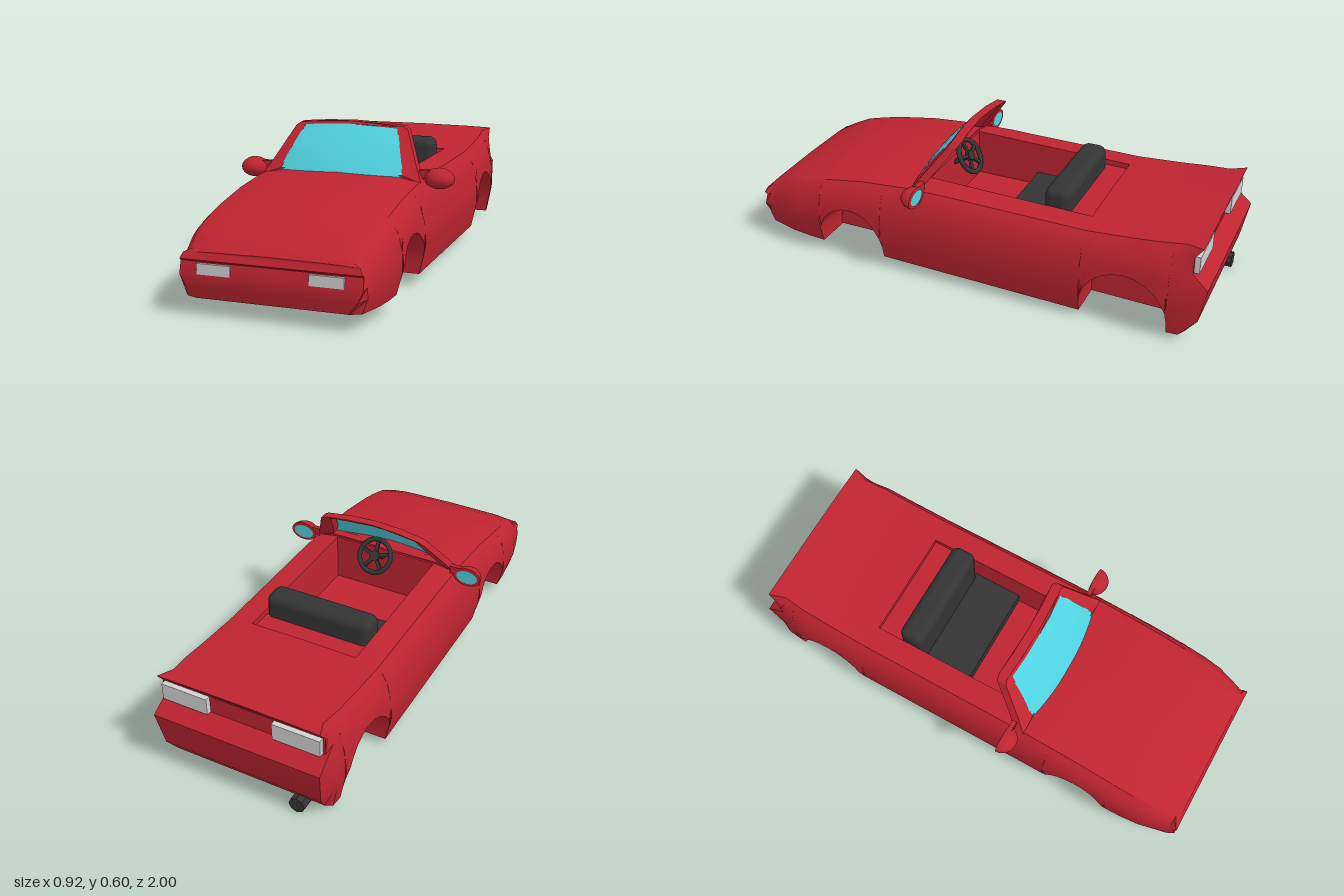
import * as THREE from 'three';
import { mergeGeometries, toCreasedNormals } from 'three/addons/utils/BufferGeometryUtils.js';
import { RoundedBoxGeometry } from 'three/addons/geometries/RoundedBoxGeometry.js';

const mat = (name, color, side = THREE.FrontSide) => {
  const m = new THREE.MeshStandardMaterial({ color, side });
  m.name = name;
  return m;
};

// Linear interpolation in a table of [position, value], ascending
function lerpTable(table, v) {
  if (v <= table[0][0]) return table[0][1];
  for (let i = 1; i < table.length; i++) {
    const [a, p] = table[i - 1], [b, q] = table[i];
    if (v <= b) return p + (q - p) * (v - a) / (b - a);
  }
  return table[table.length - 1][1];
}

// Surface through rows of [x, y, z] points; skip(i, j) leaves a cell open
function patch(rows, skip = () => false) {
  const n = rows[0].length, index = [];
  for (let i = 0; i + 1 < rows.length; i++) for (let j = 0; j + 1 < n; j++) {
    if (skip(i, j)) continue;
    const a = i * n + j, b = a + n;
    index.push(a, b, a + 1, a + 1, b, b + 1);
  }
  const g = new THREE.BufferGeometry();
  g.setAttribute('position', new THREE.Float32BufferAttribute(rows.flat(2), 3));
  g.setIndex(index);
  return g.toNonIndexed();
}
const smooth = (parts, angle = 0.55) => toCreasedNormals(mergeGeometries(parts), angle);

// Body proportions along z
const deck = [[-0.95, 0.43], [-0.7, 0.407], [-0.5, 0.395], [0, 0.405], [0.3, 0.414], [0.5, 0.4], [0.7, 0.37], [0.85, 0.325], [0.93, 0.285], [0.97, 0.26]];
const crown = [[-0.9, 0.006], [-0.4, 0.01], [0.1, 0.015], [0.3, 0.025], [0.7, 0.03], [0.97, 0.012]];
const width = [[-0.95, 0.95], [-0.8, 0.99], [-0.5, 1], [0.75, 1], [0.85, 0.975], [0.97, 0.9]];
const sill = [[-0.9, 0.025], [0.39, 0.05], [0.69, 0.056], [1, 0.068]];
const flank = [[0, 0.37], [0.36, 0.398], [0.72, 0.388], [0.9, 0.362], [1, 0.335]];
const levels = [0, 0.3, 0.55, 0.8, 0.93, 1];
const arches = [{ c: 0.54, r: 0.15, y: 0.1, front: true }, { c: -0.675, r: 0.178, y: 0.078 }];
const TUB = { x: 0.235, front: 0.22, back: -0.49, floor: 0.2 };
const WELL = 0.22;

// Half section: six flank points, the cockpit line and the centre line
function halfSection(z, bottom) {
  const H = lerpTable(deck, z), E = H - lerpTable(crown, z), S = lerpTable(width, z), base = lerpTable(sill, z);
  const pts = levels.map((k) => {
    const y = bottom + (E - bottom) * k;
    return [S * lerpTable(flank, (y - base) / (E - base)), y, z];
  });
  return [...pts, [TUB.x, E + (H - E) * 0.7, z], [0, H, z]];
}
const flip = ([x, y, z]) => [-x, y, z];
const fullSection = (half) => [...half.map(flip), ...half.slice(0, -1).reverse()];

function buildStations() {
  const list = [0.97, 0.93, 0.85, 0.77, 0.3, TUB.front, 0.1, 0, -0.15, -0.3, -0.4, TUB.back, -0.9]
    .map((z) => ({ z, b: lerpTable(sill, z) }));
  for (const arch of arches) {
    const { c, r, y } = arch, N = 12;
    for (let k = 0; k <= N; k++) {
      const a = Math.PI * k / N, z = c + r * Math.cos(a);
      if (k === 0) list.push({ z: z + 1e-4, b: lerpTable(sill, z), arch });
      list.push({ z, b: y + r * Math.sin(a), arch, inside: true });
      if (k === N) list.push({ z: z - 1e-4, b: lerpTable(sill, z), arch });
    }
  }
  list.sort((p, q) => q.z - p.z);
  for (const s of list) s.half = halfSection(s.z, s.b);
  return list;
}

function bodyGeometry() {
  const stations = buildStations();
  // Nose and tail outlines
  const nose = { z: 0.99, half: [[0.29, 0.066, 0.985], [0.325, 0.11, 0.995], [0.347, 0.155, 1], [0.347, 0.203, 0.986],
    [0.345, 0.212, 1], [0.335, 0.235, 0.988], [0.235, 0.24, 0.988], [0, 0.243, 0.988]] };
  const tail = { z: -0.99, half: [[0.33, 0.03, -0.92], [0.345, 0.1, -0.97], [0.36, 0.255, -1], [0.35, 0.31, -0.935],
    [0.35, 0.385, -0.935], [0.348, 0.427, -0.968], [0.235, 0.43, -0.968], [0, 0.432, -0.968]] };
  const all = [nose, ...stations, tail];
  const open = (i, j) => (j === 6 || j === 7) && all[i].z <= TUB.front && all[i + 1].z >= TUB.back;
  const parts = [patch(all.map((s) => fullSection(s.half)), open)];
  for (const end of [nose, tail]) parts.push(patch(end.half.map((p) => [flip(p), p])));

  // Underside, narrowed between the wheels and hollow between the front ones
  parts.push(patch(all.map((s) => {
    const [x, y, z] = s.half[0];
    if (!s.inside) return [[-x, y, z], [x, y, z]];
    const fy = s.arch.front ? 0.06 + 0.14 * (0.69 - z) / 0.3 : lerpTable(sill, z);
    return [[-WELL, fy, z], [WELL, fy, z]];
  })));

  // Wheel wells
  for (const arch of arches) for (const side of [1, -1]) {
    parts.push(patch(stations.filter((s) => s.arch === arch).map((s) => {
      const [x, y, z] = s.half[0], base = arch.front ? 0.06 : lerpTable(sill, z);
      return [[side * x, y, z], [side * WELL, y, z], [side * WELL, base, z]];
    })));
  }

  // Cockpit tub
  const tub = stations.filter((s) => s.z <= TUB.front && s.z >= TUB.back);
  parts.push(patch(tub.map(({ half, z }) => [flip(half[6]), [-TUB.x, TUB.floor, z], [TUB.x, TUB.floor, z], half[6]])));
  for (const { half, z } of [tub[0], tub[tub.length - 1]]) {
    const top = [flip(half[6]), half[7], half[6]];
    parts.push(patch([top, top.map(([x]) => [x, TUB.floor, z])]));
  }
  return smooth(parts);
}

// Windscreen: raked and bowed towards the front
const screenZ = (x, y) => 0.305 - (y - 0.41) * 0.87 - 0.5 * x * x;
function frameGeometry() {
  const shape = new THREE.Shape(), hole = new THREE.Path();
  const outline = [[-0.34, 0.385], [-0.3, 0.46], [-0.245, 0.572], [-0.225, 0.586], [-0.12, 0.596], [0, 0.601]];
  const opening = [[-0.262, 0.412], [-0.235, 0.47], [-0.2, 0.578], [-0.1, 0.586], [0, 0.59]];
  const loop = (pts) => [...pts, ...pts.slice(0, -1).reverse().map(([x, y]) => [-x, y])].map((p) => new THREE.Vector2(...p));
  shape.setFromPoints(loop(outline));
  hole.setFromPoints(loop(opening));
  shape.holes.push(hole);
  const g = new THREE.ExtrudeGeometry(shape, { depth: 0.04, bevelEnabled: false });
  const p = g.attributes.position;
  for (let i = 0; i < p.count; i++) p.setZ(i, screenZ(p.getX(i), p.getY(i)) - 0.04 + p.getZ(i));
  return toCreasedNormals(g, 0.5);
}
function glassGeometry() {
  const rows = [];
  for (let i = 0; i <= 6; i++) {
    const t = i / 6, w = 0.268 - 0.066 * t, row = [];
    for (let j = 0; j <= 10; j++) {
      const x = w * (j / 5 - 1), y = 0.405 + 0.187 * t - 0.2 * x * x * t;
      row.push([x, y, screenZ(x, y) - 0.006 + 0.012 * Math.sin(Math.PI * t)]);
    }
    rows.push(row);
  }
  return smooth([patch(rows)]);
}

export function createModel() {
  const paint = mat('red paint', 0xbf2430, THREE.DoubleSide);
  const glass = mat('blue glass', 0x4fd2df, THREE.DoubleSide);
  const dark = mat('dark trim', 0x343434);
  const lamp = mat('lamp grey', 0xd2d2d2);
  const car = new THREE.Group();
  car.name = 'convertible';
  const add = (name, geo, material, pos = [0, 0, 0], parent = car) => {
    const m = new THREE.Mesh(geo, material);
    m.name = name;
    m.position.set(...pos);
    parent.add(m);
    return m;
  };

  add('body', bodyGeometry(), paint);
  add('windscreenFrame', frameGeometry(), paint);
  add('windscreenGlass', glassGeometry(), glass);

  // Seats and rear shelf
  add('rearShelf', new THREE.BoxGeometry(0.47, 0.17, 0.11), paint, [0, 0.285, -0.435]);
  add('seatBack', new RoundedBoxGeometry(0.47, 0.25, 0.11, 4, 0.035), dark, [0, 0.345, -0.335]);
  add('seatCushion', new THREE.BoxGeometry(0.465, 0.06, 0.24), dark, [0, 0.232, -0.19]);

  // Steering wheel
  const wheel = new THREE.Group();
  wheel.name = 'steeringWheel';
  wheel.position.set(0.01, 0.415, 0.15);
  wheel.rotation.x = 0.55;
  car.add(wheel);
  add('wheelRim', new THREE.TorusGeometry(0.073, 0.011, 8, 28), dark, [0, 0, 0], wheel);
  add('wheelHub', new THREE.CylinderGeometry(0.022, 0.022, 0.02, 16).rotateX(Math.PI / 2), dark, [0, 0, 0], wheel);
  for (let k = 0; k < 5; k++) {
    add('wheelSpoke', new THREE.BoxGeometry(0.016, 0.07, 0.01).translate(0, 0.037, 0), dark, [0, 0, 0], wheel)
      .rotation.z = k * Math.PI * 2 / 5;
  }
  add('steeringColumn', new THREE.CylinderGeometry(0.012, 0.012, 0.1, 10).rotateX(Math.PI / 2), dark, [0, 0, 0.05], wheel);

  // Mirrors and lamps on both sides
  for (const s of [1, -1]) {
    const mirror = new THREE.Group();
    mirror.name = s > 0 ? 'leftMirror' : 'rightMirror';
    mirror.position.set(s * 0.4, 0.398, 0.205);
    car.add(mirror);
    const shell = new THREE.SphereGeometry(1, 20, 8, 0, Math.PI * 2, 0, Math.PI / 2).rotateX(Math.PI / 2).scale(0.062, 0.043, 0.062);
    add('mirrorShell', shell, paint, [0, 0, 0], mirror);
    add('mirrorBack', new THREE.CircleGeometry(1, 20).rotateY(Math.PI).scale(0.062, 0.043, 1), paint, [0, 0, 0], mirror);
    add('mirrorGlass', new THREE.CircleGeometry(1, 20).rotateY(Math.PI).scale(0.048, 0.031, 1), glass, [0, 0, -0.003], mirror);
    add('mirrorStalk', new THREE.BoxGeometry(0.07, 0.035, 0.02), paint, [-s * 0.045, 0.015, 0.012], mirror);
    add('headlight', new THREE.BoxGeometry(0.13, 0.044, 0.02), lamp, [s * 0.214, 0.177, 0.989]);
    add('tailLight', new THREE.BoxGeometry(0.2, 0.072, 0.03), lamp, [s * 0.24, 0.348, -0.942]);
  }

  // Exhaust
  add('exhaust', toCreasedNormals(new THREE.CylinderGeometry(0.034, 0.034, 0.11, 8).rotateX(Math.PI / 2), 0.3), dark, [-0.24, 0.034, -0.917]);
  return car;
}
